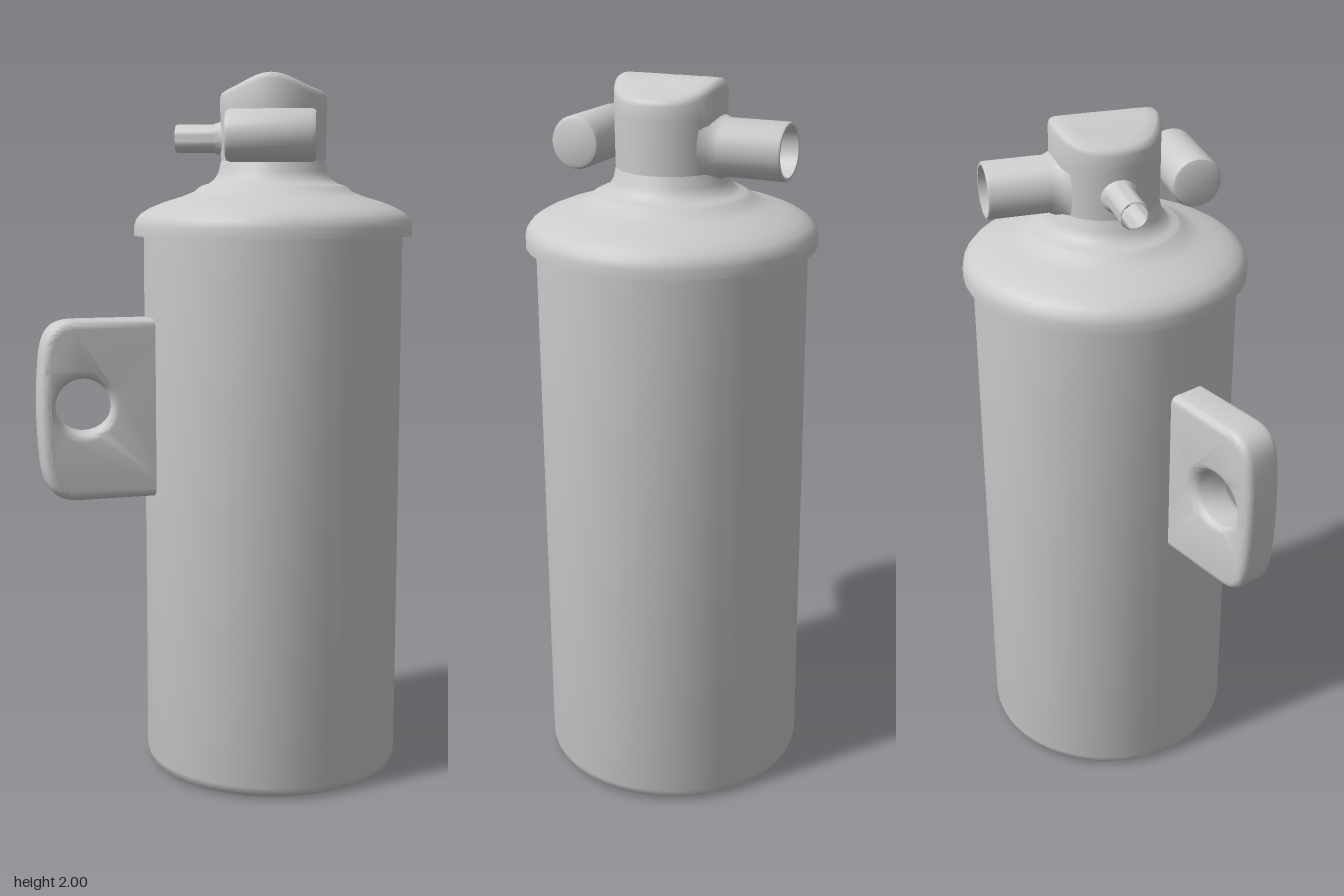
import * as THREE from 'three';
import { mergeVertices, toCreasedNormals } from 'three/addons/utils/BufferGeometryUtils.js';

const material = new THREE.MeshStandardMaterial({ color: 0xcccccc });
const AXIS_X = 0.13;

function addMesh(parent, name, geometry) {
  const mesh = new THREE.Mesh(geometry, material);
  mesh.name = name;
  parent.add(mesh);
  return mesh;
}

// Turned part from [radius, height] pairs, keeping hard edges sharp
function turned(profile, segments = 36, reshape) {
  let g = new THREE.LatheGeometry(profile.map(([r, y]) => new THREE.Vector2(r, y)), segments);
  g.deleteAttribute('uv');
  g.deleteAttribute('normal');
  g = mergeVertices(g);
  if (reshape) reshape(g.attributes.position);
  return toCreasedNormals(g, 0.75);
}

// Open pipe with a flared root and a hollow bore, pointing along +y
function pipe(radius, start, end, flare) {
  const bore = radius * 0.87;
  return turned([
    [radius + flare, start], [radius + flare * 0.4, start + 0.018], [radius, start + 0.045],
    [radius, end - 0.006], [radius - 0.003, end], [bore, end],
    [bore, start + 0.03], [0, start + 0.03],
  ], 28);
}

// Mounting lug in the radial plane, with a soft-edged hole
function lugGeometry() {
  const inner = 0.3, outer = 0.69, low = 0.82, high = 1.325, r = 0.09;
  const shape = new THREE.Shape();
  shape.moveTo(inner, low);
  shape.lineTo(outer - r - 0.02, low);
  shape.bezierCurveTo(outer - 0.03, low, outer - 0.015, low + 0.04, outer - 0.008, low + r + 0.03);
  shape.quadraticCurveTo(outer + 0.004, (low + high) / 2, outer - 0.008, high - r - 0.03);
  shape.bezierCurveTo(outer - 0.015, high - 0.04, outer - 0.03, high, outer - r - 0.02, high);
  shape.lineTo(inner, high);
  shape.closePath();

  const cx = 0.568, cy = 1.085, holeRadius = 0.078;
  const hole = new THREE.Path();
  hole.absarc(cx, cy, holeRadius, 0, Math.PI * 2, true);
  shape.holes.push(hole);

  const bevel = 0.022, depth = 0.115;
  const g = new THREE.ExtrudeGeometry(shape, {
    depth: depth - 2 * bevel, bevelEnabled: true, bevelSize: bevel, bevelOffset: -bevel,
    bevelThickness: bevel, bevelSegments: 4, curveSegments: 16,
  });
  g.translate(0, 0, bevel - depth / 2);

  // The front lip of the hole is dished toward the body
  const p = g.attributes.position;
  for (let i = 0; i < p.count; i++) {
    const dx = p.getX(i) - cx, dy = p.getY(i) - cy;
    if (Math.hypot(dx, dy) > 0.105 || p.getZ(i) < 0) continue;
    const t = Math.max(0, p.getZ(i) / (depth / 2));
    p.setX(i, cx + dx * (1 + 0.12 * t) - 0.025 * t);
  }
  return toCreasedNormals(g, 0.75);
}

export function createModel() {
  const model = new THREE.Group();
  model.name = 'canister';
  const vessel = new THREE.Group();
  vessel.name = 'vessel';
  vessel.position.x = AXIS_X;
  model.add(vessel);

  // Cylindrical tank with a rounded foot
  addMesh(vessel, 'tank', turned([
    [0, 0], [0.335, 0], [0.352, 0.004], [0.364, 0.014], [0.37, 0.035], [0.37, 1.57],
  ], 40));

  // Domed lid, stepped up to the neck
  addMesh(vessel, 'lid', turned([
    [0.36, 1.552], [0.397, 1.552], [0.397, 1.578], [0.392, 1.597], [0.378, 1.614],
    [0.352, 1.63], [0.31, 1.647], [0.26, 1.662], [0.225, 1.676], [0.212, 1.688],
    [0.2, 1.694], [0.185, 1.698], [0.168, 1.71], [0.156, 1.73], [0.149, 1.762], [0.14, 1.78],
  ], 40));

  // Valve block whose roof rises to a soft ridge running front to back
  addMesh(vessel, 'valveBlock', turned([
    [0.149, 1.74], [0.15, 1.8], [0.151, 1.9], [0.151, 1.937], [0.147, 1.949], [0.137, 1.955],
    [0.11, 1.956], [0.08, 1.956], [0.05, 1.956], [0.025, 1.956], [0, 1.956],
  ], 40, (p) => {
    for (let i = 0; i < p.count; i++) {
      if (p.getY(i) < 1.92) continue;
      const ridge = 0.5 + 0.5 * Math.cos(Math.PI * Math.min(1, Math.abs(p.getX(i)) / 0.15));
      p.setY(i, p.getY(i) + 0.044 * ridge);
    }
  }));

  // Wide outlet at the back and thin outlet at the side
  const back = addMesh(vessel, 'backOutlet', pipe(0.077, 0.12, 0.335, 0.03));
  back.position.y = 1.823;
  back.rotation.x = -Math.PI / 2;
  const side = addMesh(vessel, 'sideOutlet', pipe(0.04, 0.125, 0.278, 0.025));
  side.position.y = 1.825;
  side.rotation.z = Math.PI / 2;

  // Round-edged cylinder lying across the front
  const cross = addMesh(vessel, 'frontCylinder', turned([
    [0, -0.125], [0.056, -0.125], [0.066, -0.121], [0.071, -0.11],
    [0.071, 0.11], [0.066, 0.121], [0.056, 0.125], [0, 0.125],
  ], 32));
  cross.position.set(0.005, 1.825, 0.225);
  cross.rotation.z = Math.PI / 2;

  const lug = addMesh(vessel, 'mountingLug', lugGeometry());
  lug.rotation.y = Math.PI + 0.379;

  return model;
}
